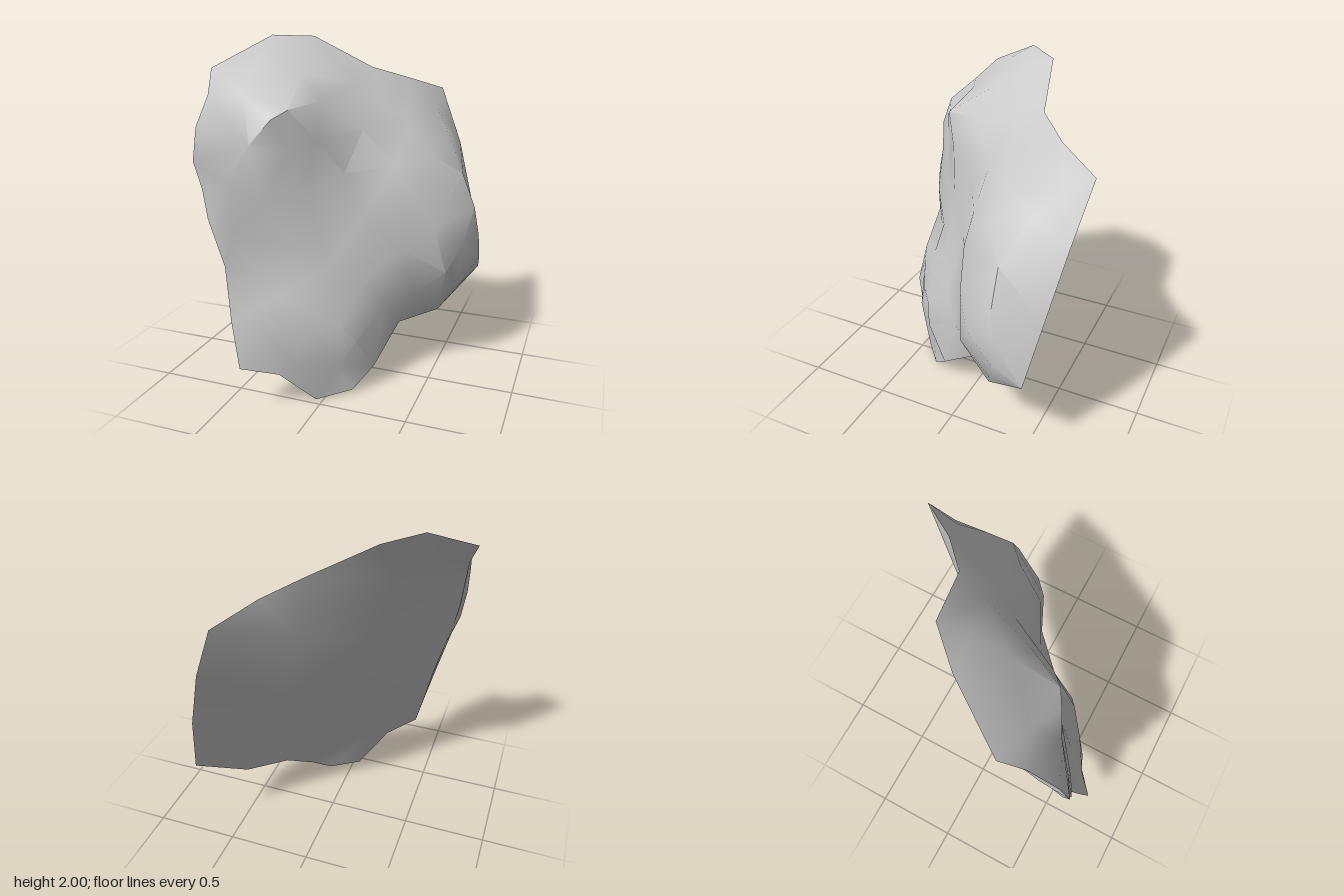
import * as THREE from 'three';
import { toCreasedNormals } from 'three/addons/utils/BufferGeometryUtils.js';

const toPoints = (a) => a.map((p) => new THREE.Vector3(...p));

// Edge shared by front and back, clockwise from the upper left round to the lower left
const rim = toPoints([
  [-0.72, 1.83, 0.28], [-0.5, 2, -0.05], [-0.32, 1.99, -0.24], [0.02, 1.81, -0.33], [0.2, 1.74, -0.5],
  [0.36, 1.66, -0.73], [0.5, 1.33, -0.67], [0.61, 0.95, -0.6], [0.68, 0.56, -0.52], [0.49, 0.35, -0.24],
  [0.3, 0.32, -0.04], [0.22, 0.13, 0.2], [0.13, 0.02, 0.32], [-0.04, 0, 0.46], [-0.2, 0.2, 0.6],
  [-0.37, 0.27, 0.73],
]);

// Left side, rising from the rim's end to its start: front edge and back edge
const leftFront = toPoints([
  [-0.43, 0.52, 0.69], [-0.5, 0.8, 0.61], [-0.57, 1.07, 0.64], [-0.62, 1.22, 0.6],
  [-0.64, 1.38, 0.64], [-0.65, 1.55, 0.58], [-0.67, 1.7, 0.41],
]);
const leftBack = toPoints([
  [-0.43, 0.52, 0.64], [-0.49, 0.8, 0.55], [-0.56, 1.07, 0.52], [-0.6, 1.22, 0.5],
  [-0.63, 1.38, 0.46], [-0.65, 1.55, 0.41], [-0.67, 1.7, 0.35],
]);

// Relief of the carved half: brow, eye ledge, cheek and muzzle
const face = toPoints([
  [-0.48, 1.92, 0.08], [-0.28, 1.92, -0.08], [-0.25, 1.8, 0.1], [-0.5, 1.7, 0.34], [-0.02, 1.74, -0.16],
  [-0.22, 1.63, 0.36], [-0.3, 1.58, 0.41], [-0.1, 1.46, 0.27], [-0.12, 1.66, 0.15],
  [-0.4, 1.45, 0.47], [-0.24, 1.4, 0.36], [-0.5, 1.25, 0.57], [-0.33, 1.15, 0.46],
  [-0.15, 1.15, 0.3], [-0.46, 0.98, 0.59], [-0.18, 0.88, 0.4], [-0.33, 0.76, 0.5],
  [-0.22, 0.63, 0.5], [-0.02, 0.75, 0.31], [-0.3, 0.48, 0.63], [-0.08, 0.42, 0.51],
  [0.08, 0.45, 0.39], [0.16, 0.34, 0.34], [-0.13, 0.25, 0.57], [0.06, 0.18, 0.37],
  [0.16, 0.65, 0.19], [0.25, 0.48, 0.11],
]);

// Rounded bulge on the other half
const bulge = toPoints([
  [0.06, 1.48, -0.04], [0.0, 1.25, 0.1], [0.14, 1.6, -0.2], [0.37, 1.56, -0.56], [0.28, 1.5, -0.24],
  [0.26, 1.28, -0.04], [0.47, 1.42, -0.44], [0.42, 1.33, -0.2], [0.36, 1.12, -0.03], [0.12, 1.02, 0.1],
  [0.59, 1.2, -0.34], [0.49, 0.92, -0.07], [0.32, 0.8, 0.01], [0.67, 1.0, -0.34], [0.64, 0.8, -0.18],
  [0.56, 0.65, -0.1], [0.71, 0.68, -0.36], [0.7, 0.82, -0.36], [0.38, 0.51, -0.04], [0.6, 0.5, -0.29],
]);

// Nearly flat back
const rear = toPoints([
  [-0.35, 1.7, 0.0], [0.08, 1.5, -0.37], [-0.2, 1.3, 0.02], [0.2, 1.0, -0.24],
  [-0.22, 0.8, 0.28], [0.36, 0.62, -0.22], [0.05, 0.45, 0.17], [-0.12, 0.3, 0.43],
]);

// The leaning plane on which the surfaces are laid out
const normal = new THREE.Vector3(0.7, 0.32, 0.7).normalize();
const across = new THREE.Vector3(1, 0, -1).normalize();
const along = normal.clone().cross(across);
const flat = (p) => new THREE.Vector2(p.dot(across), p.dot(along));

function inside(x, y, loop) {
  let hit = false;
  loop.forEach((a, i) => {
    const b = loop[(i + 1) % loop.length];
    if ((a.y > y) !== (b.y > y) && x < a.x + ((y - a.y) * (b.x - a.x)) / (b.y - a.y)) hit = !hit;
  });
  return hit;
}

function surface(positions) {
  const geometry = new THREE.BufferGeometry();
  geometry.setAttribute('position', new THREE.Float32BufferAttribute(positions, 3));
  return toCreasedNormals(geometry, 0.7);
}

// Joins scattered points into a Delaunay sheet, trimmed to its edge
function sheet(edge, inner, facing) {
  const points = [...edge, ...inner];
  const q = points.map(flat);
  const outline = edge.map(flat);
  const positions = [];
  for (let i = 0; i < q.length; i++)
    for (let j = i + 1; j < q.length; j++)
      for (let k = j + 1; k < q.length; k++) {
        const a = q[i], b = q[j], c = q[k];
        const d = 2 * (a.x * (b.y - c.y) + b.x * (c.y - a.y) + c.x * (a.y - b.y));
        if (Math.abs(d) < 1e-6) continue;
        const A = a.lengthSq(), B = b.lengthSq(), C = c.lengthSq();
        const cx = (A * (b.y - c.y) + B * (c.y - a.y) + C * (a.y - b.y)) / d;
        const cy = (A * (c.x - b.x) + B * (a.x - c.x) + C * (b.x - a.x)) / d;
        const r2 = (a.x - cx) ** 2 + (a.y - cy) ** 2;
        const blocked = q.some((p, m) => m !== i && m !== j && m !== k
          && (p.x - cx) ** 2 + (p.y - cy) ** 2 < r2 - 1e-9);
        if (blocked || !inside((a.x + b.x + c.x) / 3, (a.y + b.y + c.y) / 3, outline)) continue;
        const order = d * facing > 0 ? [i, j, k] : [i, k, j];
        order.forEach((n) => positions.push(...points[n].toArray()));
      }
  return surface(positions);
}

// Closes the gap between the two left edges
function strip(front, back) {
  const positions = [];
  for (let i = 0; i < front.length - 1; i++)
    [front[i], front[i + 1], back[i], front[i + 1], back[i + 1], back[i]]
      .forEach((p) => positions.push(...p.toArray()));
  return surface(positions);
}

export function createModel() {
  const group = new THREE.Group();
  group.name = 'carvedFragment';
  const material = new THREE.MeshStandardMaterial({ color: 0xcccccc, side: THREE.DoubleSide });
  const add = (name, geometry) => {
    const mesh = new THREE.Mesh(geometry, material);
    mesh.name = name;
    group.add(mesh);
  };
  const ends = (edge) => [rim[rim.length - 1], ...edge, rim[0]];
  add('carvedFront', sheet([...rim, ...leftFront], [...face, ...bulge], 1));
  add('flatBack', sheet([...rim, ...leftBack], rear, -1));
  add('leftSide', strip(ends(leftFront), ends(leftBack)));
  return group;
}
